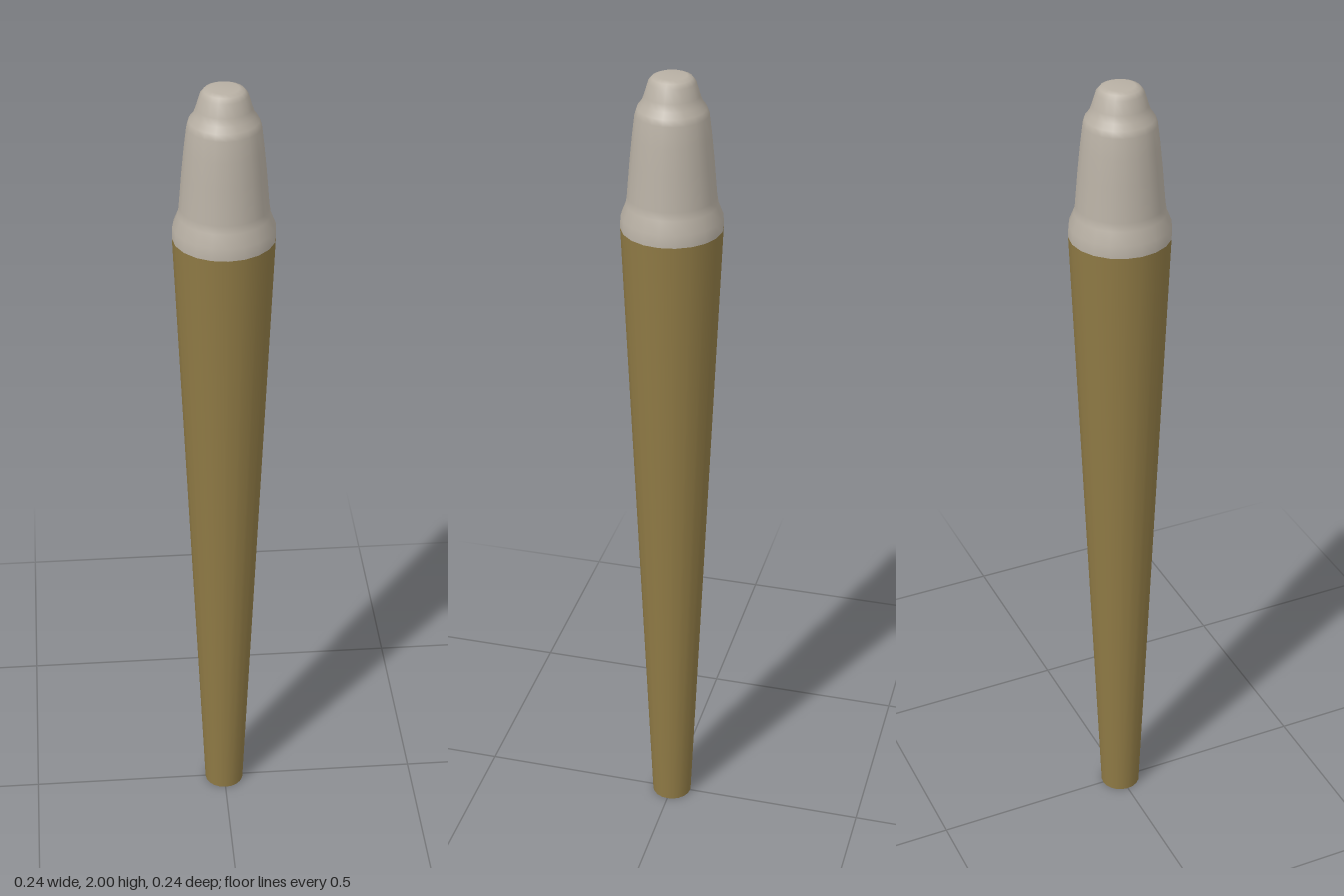
import * as THREE from 'three';

const SIDES = 20;

export function createModel() {
  const group = new THREE.Group();
  const wood = new THREE.MeshStandardMaterial({ color: 0x8f7a45 });
  const stone = new THREE.MeshStandardMaterial({ color: 0xb8b0a4 });

  // Tapered shaft, narrow at the foot, closed at both ends
  const shaft = new THREE.Mesh(new THREE.CylinderGeometry(0.119, 0.05, 1.635, SIDES), wood);
  shaft.position.y = 1.635 / 2;
  shaft.name = 'shaft';

  // Turned tip: collar, tapering body, shoulder and rounded nose
  const profile = [
    [0.119, 1.635], [0.118, 1.665], [0.106, 1.695], [0.103, 1.715],
    [0.096, 1.8], [0.09, 1.86], [0.084, 1.91], [0.079, 1.925], [0.069, 1.938],
    [0.063, 1.955], [0.054, 1.985], [0.046, 1.995], [0.034, 2], [0, 2],
  ].map(([r, y]) => new THREE.Vector2(r, y));
  const tip = new THREE.Mesh(new THREE.LatheGeometry(profile, SIDES), stone);
  tip.name = 'tip';

  group.add(shaft, tip);
  return group;
}
